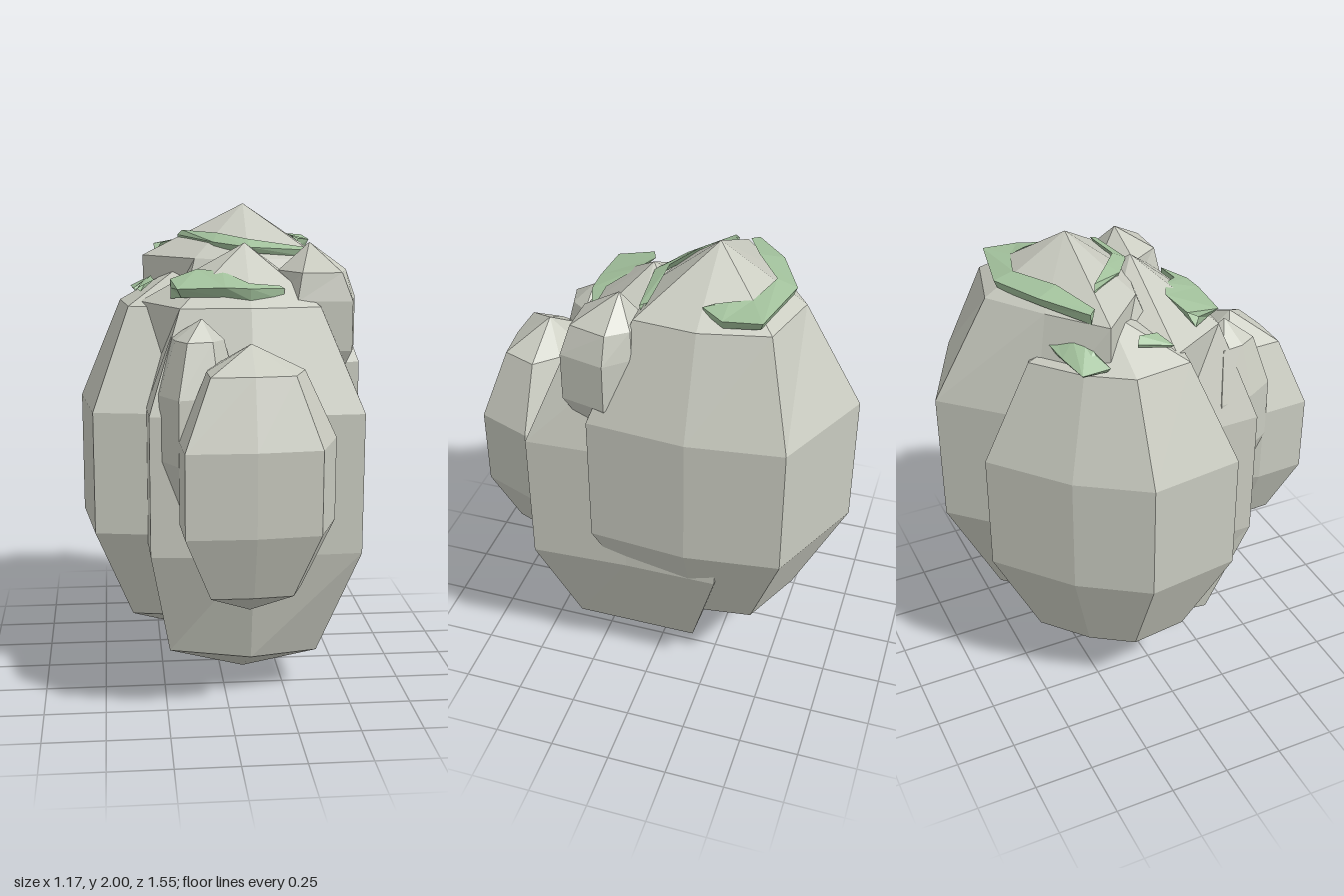
import * as THREE from 'three';

const rock = new THREE.MeshStandardMaterial({ color: 0xc9cbc0, flatShading: true });
rock.name = 'rock';
const moss = new THREE.MeshStandardMaterial({ color: 0xa2c19c, flatShading: true, side: THREE.DoubleSide });
moss.name = 'moss';

function build(name, verts, index, material) {
  const geo = new THREE.BufferGeometry();
  geo.setAttribute('position', new THREE.Float32BufferAttribute(verts.flat(), 3));
  geo.setIndex(index);
  const flat = geo.toNonIndexed();
  flat.computeVertexNormals();
  const mesh = new THREE.Mesh(flat, material);
  mesh.name = name;
  return mesh;
}

// Faceted boulder: two poles and four rings that share one plan outline.
// Outlines list [x, z] offsets from north (-z) round by west, south and east.
// The top ring (cap, with its height capY) and bottom ring (base) may have their own outline.
function boulder(name, [cx, cy, cz], ry, outline, { cap, capY, base } = {}) {
  const n = outline.length;
  const narrow = outline.map(([x, z]) => [x * 0.62, z * 0.62]);
  const rings = [cap ?? narrow, outline, outline, base ?? narrow];
  const verts = [[cx, cy + ry, cz]];
  rings.forEach((ring, r) => {
    const y = r === 0 && capY ? capY : cy + ry * Math.cos(((r + 1) * Math.PI) / 5);
    for (const [x, z] of ring) verts.push([cx + x, y, cz + z]);
  });
  verts.push([cx, cy - ry, cz]);
  const last = verts.length - 1;
  const index = [];
  for (let i = 0; i < n; i++) {
    const j = (i + 1) % n;
    index.push(0, 1 + i, 1 + j);
    for (let r = 0; r < 3; r++) {
      const a = 1 + r * n + i, b = 1 + r * n + j;
      index.push(a, a + n, b, b, a + n, b + n);
    }
    index.push(1 + 3 * n + i, last, 1 + 3 * n + j);
  }
  return build(name, verts, index, rock);
}

// Moss wedge: a strip from an outer edge to an inner edge, with a folded underside.
function mossPatch(name, pairs, drop) {
  const verts = [];
  for (const [o, i] of pairs) {
    const under = [0, 1, 2].map((k) => o[k] * 0.8 + i[k] * 0.2 - (k === 1 ? drop : 0));
    verts.push(o, i, under);
  }
  const index = [];
  for (let p = 0; p < pairs.length - 1; p++) {
    for (let k = 0; k < 3; k++) {
      const a = p * 3 + k, b = p * 3 + ((k + 1) % 3);
      index.push(a, b, a + 3, b, b + 3, a + 3);
    }
  }
  return build(name, verts, index, moss);
}

export function createModel() {
  const group = new THREE.Group();
  group.name = 'mossyBoulders';

  group.add(
    boulder('backBoulder', [0.12, 1.1, -0.2], 0.9, [
      [0, -0.575], [-0.3, -0.265], [-0.42, 0], [-0.33, 0.34],
      [0, 0.45], [0.44, 0.4], [0.47, 0], [0.42, -0.38]], {
      capY: 1.785,
      cap: [[0, -0.34], [-0.22, -0.18], [-0.43, 0], [-0.22, 0.2],
        [0, 0.26], [0.3, 0.25], [0.32, 0], [0.26, -0.27]],
    }),
    boulder('mainBoulder', [0.1, 0.93, 0.07], 0.925, [
      [0, -0.4], [-0.35, -0.36], [-0.42, 0], [-0.41, 0.39],
      [0, 0.42], [0.44, 0.4], [0.42, 0], [0.42, -0.38]], {
      capY: 1.62,
      cap: [[0, -0.25], [-0.26, -0.22], [-0.43, 0], [-0.28, 0.26],
        [0, 0.28], [0.28, 0.25], [0.31, 0], [0.26, -0.24]],
      base: [[0, -0.25], [-0.22, -0.23], [-0.3, 0], [-0.33, 0.23],
        [0, 0.33], [0.28, 0.27], [0.28, 0], [0.28, -0.25]],
    }),
    boulder('sideBoulder', [-0.13, 0.94, -0.14], 0.82, [
      [0.02, -0.52], [-0.27, -0.27], [-0.45, 0], [-0.4, 0.39],
      [0, 0.46], [0.3, 0.3], [0.4, 0], [0.3, -0.32]]),
    boulder('frontBoulder', [0.08, 0.975, 0.53], 0.535, [
      [0, -0.2], [-0.24, -0.14], [-0.28, 0.03], [-0.27, 0.24],
      [0, 0.245], [0.25, 0.22], [0.335, 0], [0.2, -0.14]]),
    boulder('smallFrontBoulder', [-0.1, 1.17, 0.4], 0.42, [
      [0.02, -0.18], [-0.19, -0.1], [-0.17, 0.05], [-0.1, 0.17],
      [0.06, 0.13], [0.14, 0.02]]),
    boulder('smallTopBoulder', [0.36, 1.54, 0.12], 0.32, [
      [-0.04, -0.1], [-0.14, 0.03], [-0.07, 0.18],
      [0.15, 0.19], [0.19, 0.01], [0.11, -0.08]], {
      capY: 1.75,
      cap: [[-0.04, -0.08], [-0.13, 0.03], [-0.05, 0.16],
        [0.11, 0.16], [0.15, 0.01], [0.09, -0.07]],
    })
  );

  group.add(
    mossPatch('backMoss', [
      [[-0.26, 1.83, -0.26], [-0.23, 1.835, -0.23]],
      [[-0.09, 1.85, -0.4], [-0.05, 1.87, -0.31]],
      [[0.12, 1.85, -0.5], [0.12, 1.875, -0.42]],
      [[0.41, 1.85, -0.44], [0.28, 1.865, -0.37]],
      [[0.42, 1.84, -0.29], [0.32, 1.865, -0.29]],
      [[0.36, 1.85, -0.2], [0.34, 1.86, -0.24]]], 0.045),
    mossPatch('middleMoss', [
      [[-0.16, 1.87, -0.2], [-0.14, 1.89, -0.19]],
      [[-0.02, 1.85, -0.03], [0.0, 1.885, -0.08]],
      [[0.12, 1.835, 0.06], [0.12, 1.865, 0.0]],
      [[0.37, 1.82, 0.04], [0.36, 1.83, 0.01]]], 0.03),
    mossPatch('frontMoss', [
      [[-0.21, 1.69, 0.22], [-0.21, 1.72, 0.17]],
      [[-0.19, 1.695, 0.32], [-0.1, 1.755, 0.13]],
      [[0.0, 1.7, 0.33], [0.0, 1.75, 0.18]],
      [[0.1, 1.695, 0.33], [0.1, 1.71, 0.27]],
      [[0.24, 1.69, 0.28], [0.22, 1.7, 0.27]]], 0.05),
    mossPatch('sideMoss', [
      [[-0.11, 1.68, -0.39], [-0.12, 1.7, -0.35]],
      [[-0.24, 1.66, -0.37], [-0.2, 1.71, -0.31]],
      [[-0.36, 1.64, -0.34], [-0.25, 1.7, -0.28]],
      [[-0.35, 1.64, -0.22], [-0.28, 1.69, -0.26]]], 0.03),
    mossPatch('smallSideMoss', [
      [[-0.31, 1.69, -0.09], [-0.28, 1.71, -0.07]],
      [[-0.34, 1.67, 0.05], [-0.27, 1.7, 0.01]]], 0.02)
  );
  return group;
}
